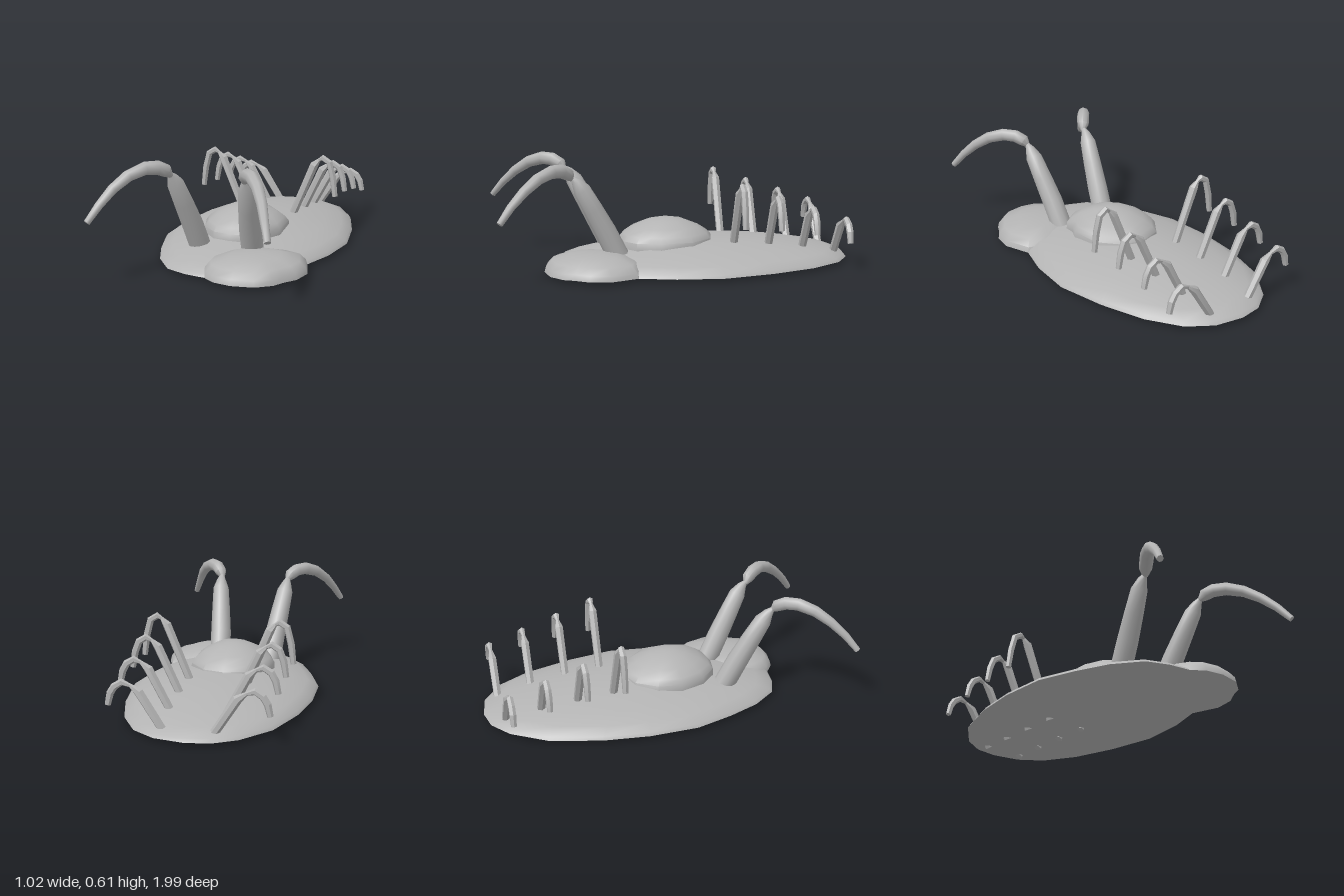
import * as THREE from 'three';
import { toCreasedNormals } from 'three/addons/utils/BufferGeometryUtils.js';

const AXIS = -0.016; // x of the plane the limbs mirror across
const V = (x, y, z) => new THREE.Vector3(x, y, z);

// Skin a stack of equal rings (counter-clockwise about the stacking direction), capped at both ends
function skin(rings, crease) {
  const n = rings[0].length, pos = [], idx = [];
  const centre = (r) => r.reduce((s, p) => s.add(p), V(0, 0, 0)).divideScalar(n);
  const last = rings.length - 1;
  rings.flat().concat(centre(rings[0]), centre(rings[last])).forEach((p) => pos.push(p.x, p.y, p.z));
  const c0 = n * rings.length;
  for (let i = 0; i < n; i++) {
    const j = (i + 1) % n;
    for (let k = 0; k < last; k++) {
      const a = k * n, b = a + n;
      idx.push(a + i, a + j, b + j, a + i, b + j, b + i);
    }
    idx.push(c0, j, i, c0 + 1, last * n + i, last * n + j);
  }
  const g = new THREE.BufferGeometry();
  g.setAttribute('position', new THREE.Float32BufferAttribute(pos, 3));
  g.setIndex(idx);
  return toCreasedNormals(g, crease);
}

// Flat-bottomed mound: outline of [x, z], shrunk towards a centre by [scale, y] steps
function mound(outline, [cx, cz], profile) {
  const loop = [...outline].reverse();
  return skin(profile.map(([s, y]) =>
    loop.map(([x, z]) => V(cx + (x - cx) * s, y, cz + (z - cz) * s))), 0.75);
}

// Limb through [x, y, z, radius] stations; ref is a direction across the bend
function limb(stations, ref, sides, crease) {
  const pts = stations.map(([x, y, z]) => V(x, y, z));
  return skin(pts.map((p, k) => {
    const t = pts[Math.min(k + 1, pts.length - 1)].clone().sub(pts[Math.max(k - 1, 0)]).normalize();
    const u = ref.clone().cross(t).normalize(), v = t.clone().cross(u);
    return Array.from({ length: sides }, (_, i) => {
      const a = (i / sides) * Math.PI * 2, r = stations[k][3];
      return p.clone().addScaledVector(u, r * Math.cos(a)).addScaledVector(v, r * Math.sin(a));
    });
  }), crease);
}

export function createModel() {
  const model = new THREE.Group();
  const grey = new THREE.MeshStandardMaterial({ color: 0xb4b4b4 });
  grey.name = 'grey';
  const add = (name, geometry) => {
    const mesh = new THREE.Mesh(geometry, grey);
    mesh.name = name;
    model.add(mesh);
  };

  // Long low body
  add('body', mound([
    [-0.02, -1], [0.14, -0.97], [0.27, -0.88], [0.38, -0.7], [0.46, -0.45], [0.51, -0.17],
    [0.48, 0.08], [0.42, 0.27], [0.32, 0.46], [0.17, 0.61], [0, 0.67], [-0.12, 0.65],
    [-0.24, 0.6], [-0.35, 0.46], [-0.43, 0.28], [-0.5, 0.07], [-0.51, -0.2], [-0.48, -0.45],
    [-0.4, -0.72], [-0.27, -0.9], [-0.15, -0.98],
  ], [0, -0.15], [[1, 0.02], [0.98, 0.037], [0.88, 0.067], [0.7, 0.097], [0.42, 0.13], [0.2, 0.143]]));

  // Lobe at the front left
  add('frontLobe', mound([
    [0.42, 0.27], [0.47, 0.42], [0.45, 0.53], [0.4, 0.6], [0.37, 0.66], [0.29, 0.72],
    [0.17, 0.74], [0.07, 0.72], [0, 0.67], [-0.04, 0.6], [-0.05, 0.5], [-0.02, 0.37],
    [0.06, 0.28], [0.18, 0.23], [0.31, 0.23],
  ], [0.2, 0.48], [[1, 0.02], [0.97, 0.05], [0.85, 0.085], [0.5, 0.112], [0.2, 0.12]]));

  // Rounded hump on the back
  add('hump', mound([
    [-0.02, -0.22], [0.1, -0.19], [0.2, -0.07], [0.21, 0.11], [0.18, 0.17], [0.17, 0.24],
    [0.09, 0.3], [-0.01, 0.31], [-0.11, 0.29], [-0.2, 0.2], [-0.25, 0.06], [-0.23, -0.07],
    [-0.15, -0.18],
  ], [-0.01, 0.05], [[1, 0.11], [0.99, 0.15], [0.9, 0.178], [0.7, 0.213], [0.4, 0.246], [0.15, 0.259]]));

  for (const s of [-1, 1]) {
    const side = s < 0 ? 'right' : 'left';
    const X = (list) => list.map(([x, y, z, r]) => [AXIS + s * x, y, z, r]);

    // Front arm: stout lower part, pinched elbow, tapering curved upper part
    const across = V(0.82, 0, -s * 0.57);
    add(side + 'LowerArm', limb(X([
      [0.152, 0.08, 0.335, 0.06], [0.165, 0.22, 0.405, 0.059], [0.182, 0.35, 0.475, 0.053],
      [0.197, 0.46, 0.535, 0.046], [0.202, 0.505, 0.565, 0.026], [0.204, 0.53, 0.59, 0.01],
    ]), V(1, 0, 0), 10, 0.9));
    add(side + 'UpperArm', limb(X([
      [0.198, 0.515, 0.585, 0.012], [0.215, 0.545, 0.605, 0.034], [0.245, 0.568, 0.645, 0.037],
      [0.29, 0.572, 0.7, 0.036], [0.345, 0.545, 0.775, 0.032], [0.395, 0.49, 0.85, 0.027],
      [0.435, 0.42, 0.92, 0.022], [0.473, 0.342, 0.98, 0.017],
    ]), across, 8, 0.9));

    // Four jointed legs, getting shorter towards the rear: [z, knee height, tip height]
    [[-0.31, 0.47, 0.25], [-0.51, 0.4, 0.235], [-0.71, 0.335, 0.205], [-0.9, 0.27, 0.15]]
      .forEach(([z, knee, tip], i) => {
        const f = i / 3;
        add(side + 'Leg' + (i + 1), limb(X([
          [0.11, 0.013, z, 0.022],
          [0.282 - 0.035 * f, knee - 0.045, z, 0.024],
          [0.31 - 0.02 * f, knee - 0.015, z, 0.01],
          [0.332, knee, z, 0.018],
          [0.372, knee - 0.025, z, 0.019],
          [0.394, (knee + tip) / 2, z, 0.019],
          [0.408, tip, z, 0.016],
        ]), V(0, 0, 1), 6, 0.3));
      });
  }
  return model;
}
